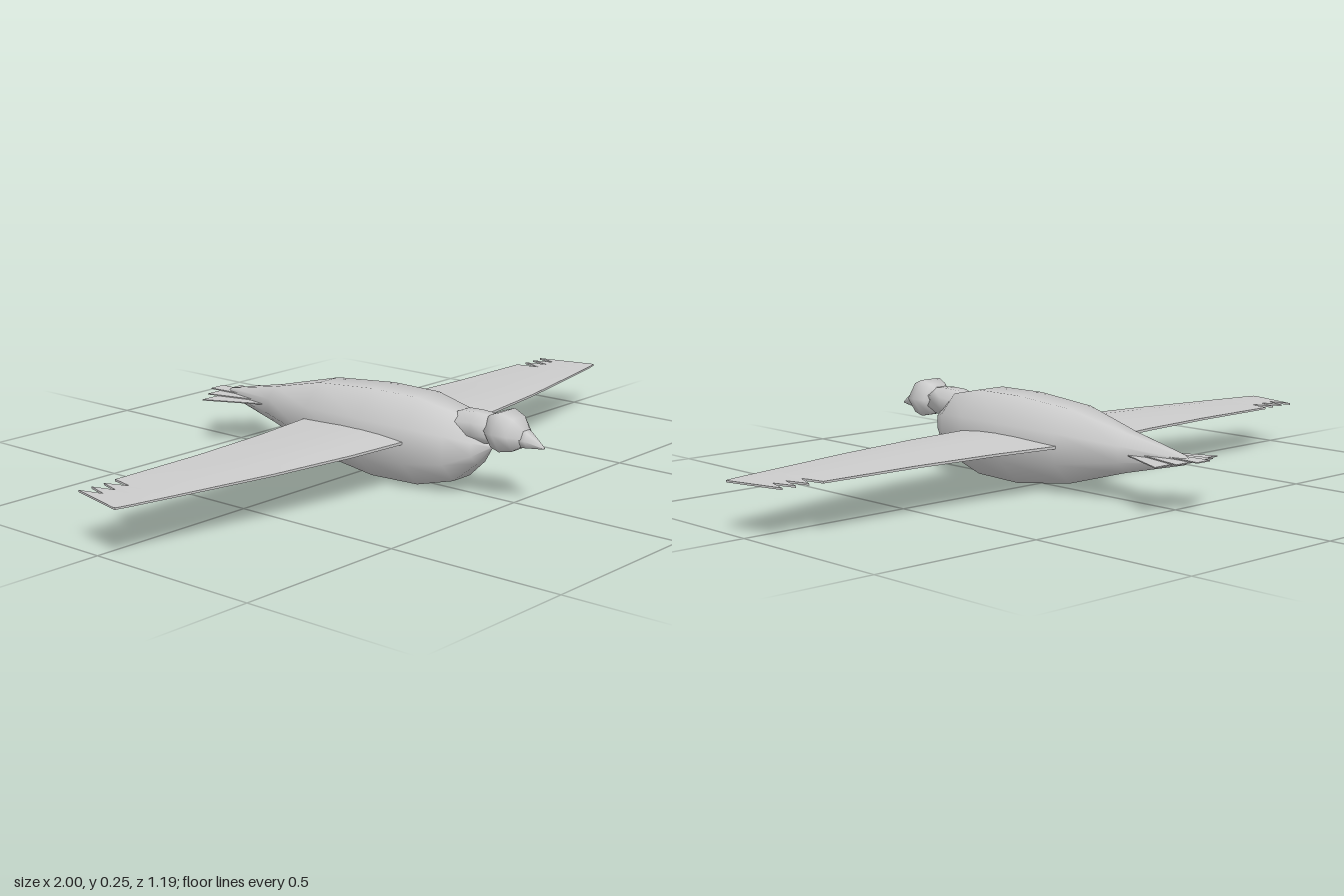
import * as THREE from 'three';
import { toCreasedNormals } from 'three/addons/utils/BufferGeometryUtils.js';

// Skin a list of equal-length rings (arrays of [x, y, z]) and cap both ends.
function loft(rings) {
  const n = rings[0].length, last = (rings.length - 1) * n, index = [];
  for (let i = 0; i < rings.length - 1; i++) {
    for (let j = 0; j < n; j++) {
      const a = i * n + j, b = i * n + (j + 1) % n;
      index.push(a, b, b + n, a, b + n, a + n);
    }
  }
  for (let j = 1; j < n - 1; j++) {
    index.push(0, j + 1, j, last, last + j, last + j + 1);
  }
  const geometry = new THREE.BufferGeometry();
  geometry.setAttribute('position', new THREE.Float32BufferAttribute(rings.flat(2), 3));
  geometry.setIndex(index);
  geometry.computeVertexNormals();
  return geometry;
}

// Rounded part along z. Each section: [z, bottom y, top y, half width].
function tube(sections, sides, turn) {
  let mx = 0, my = 0;
  const unit = Array.from({ length: sides }, (_, j) => {
    const a = turn + (j / sides) * Math.PI * 2;
    mx = Math.max(mx, Math.cos(a));
    my = Math.max(my, Math.sin(a));
    return [Math.cos(a), Math.sin(a)];
  });
  return loft(sections.map(([z, y0, y1, w]) =>
    unit.map(([c, s]) => [(c / mx) * w, (y0 + y1) / 2 + (s / my) * (y1 - y0) / 2, z])));
}

// Wing stations: [x, leading z, trailing z]; the zigzag at the tip forms the feathers.
const WING = [
  [0.05, 0.212, -0.16], [0.11, 0.21, -0.155], [0.3, 0.195, -0.13], [0.55, 0.16, -0.113],
  [0.84, 0.104, -0.109], [0.855, 0.101, -0.04], [0.88, 0.096, -0.106], [0.9, 0.092, -0.04],
  [0.92, 0.088, -0.106], [0.94, 0.084, -0.04], [0.96, 0.08, -0.108], [1, 0.07, 0.06],
];

function wing(side) {
  const steps = 5;
  const rings = WING.map(([x, lead, trail]) => {
    const top = [], bottom = [];
    for (let j = 0; j <= steps; j++) {
      const t = j / steps, z = trail + (lead - trail) * t;
      const camber = 0.012 * (1 - x) * Math.sin(Math.PI * Math.pow(t, 1.3));
      const half = 0.004 - 0.0015 * x;
      top.push([side * x, 0.134 + camber + half, z]);
      bottom.unshift([side * x, 0.134 + camber * 0.3 - half, z]);
    }
    return [...top, ...bottom];
  });
  if (side < 0) rings.reverse();
  return toCreasedNormals(loft(rings), 0.6);
}

// Flat tail layer, a thin trapezoid widening towards the back.
function tailLayer(rootZ, rootW, endZ, endW) {
  const shape = new THREE.Shape([
    new THREE.Vector2(-rootW, -rootZ), new THREE.Vector2(rootW, -rootZ),
    new THREE.Vector2(endW, -endZ), new THREE.Vector2(-endW, -endZ),
  ]);
  return new THREE.ExtrudeGeometry(shape, { depth: 0.003, bevelEnabled: false })
    .rotateX(-Math.PI / 2);
}

export function createModel() {
  const group = new THREE.Group();
  const material = new THREE.MeshStandardMaterial({ color: 0xcccccc });
  const add = (name, geometry, y = 0) => {
    const mesh = new THREE.Mesh(geometry, material);
    mesh.name = name;
    mesh.position.y = y;
    group.add(mesh);
  };

  // Eight-sided body, tapering to the tail
  add('body', tube([
    [-0.545, 0.136, 0.141, 0.003], [-0.53, 0.124, 0.15, 0.012], [-0.34, 0.08, 0.187, 0.05],
    [-0.15, 0.027, 0.232, 0.1], [0.05, 0.002, 0.248, 0.115], [0.21, 0.006, 0.247, 0.112],
    [0.325, 0.035, 0.223, 0.086], [0.39, 0.09, 0.178, 0.045], [0.425, 0.136, 0.148, 0.007],
  ], 8, Math.PI / 8));

  // Neck, head and beak
  add('neck', tube([
    [0.3, 0.135, 0.215, 0.045], [0.335, 0.14, 0.229, 0.046],
    [0.385, 0.147, 0.231, 0.042], [0.445, 0.155, 0.227, 0.042],
  ], 8, Math.PI / 8));
  add('head', tube([
    [0.42, 0.165, 0.222, 0.035], [0.44, 0.148, 0.236, 0.055], [0.472, 0.141, 0.247, 0.068],
    [0.51, 0.148, 0.233, 0.055], [0.535, 0.165, 0.206, 0.028],
  ], 6, 0));
  add('beak', tube([
    [0.515, 0.158, 0.212, 0.036], [0.545, 0.16, 0.2, 0.023], [0.593, 0.163, 0.168, 0.002],
  ], 6, 0));

  // Wings
  add('leftWing', wing(1));
  add('rightWing', wing(-1));

  // Stacked tail feathers
  add('outerTailFeathers', tailLayer(-0.34, 0.03, -0.537, 0.12), 0.132);
  add('middleTailFeathers', tailLayer(-0.36, 0.02, -0.565, 0.07), 0.136);
  add('centreTailFeather', tailLayer(-0.4, 0.015, -0.595, 0.025), 0.14);

  return group;
}
